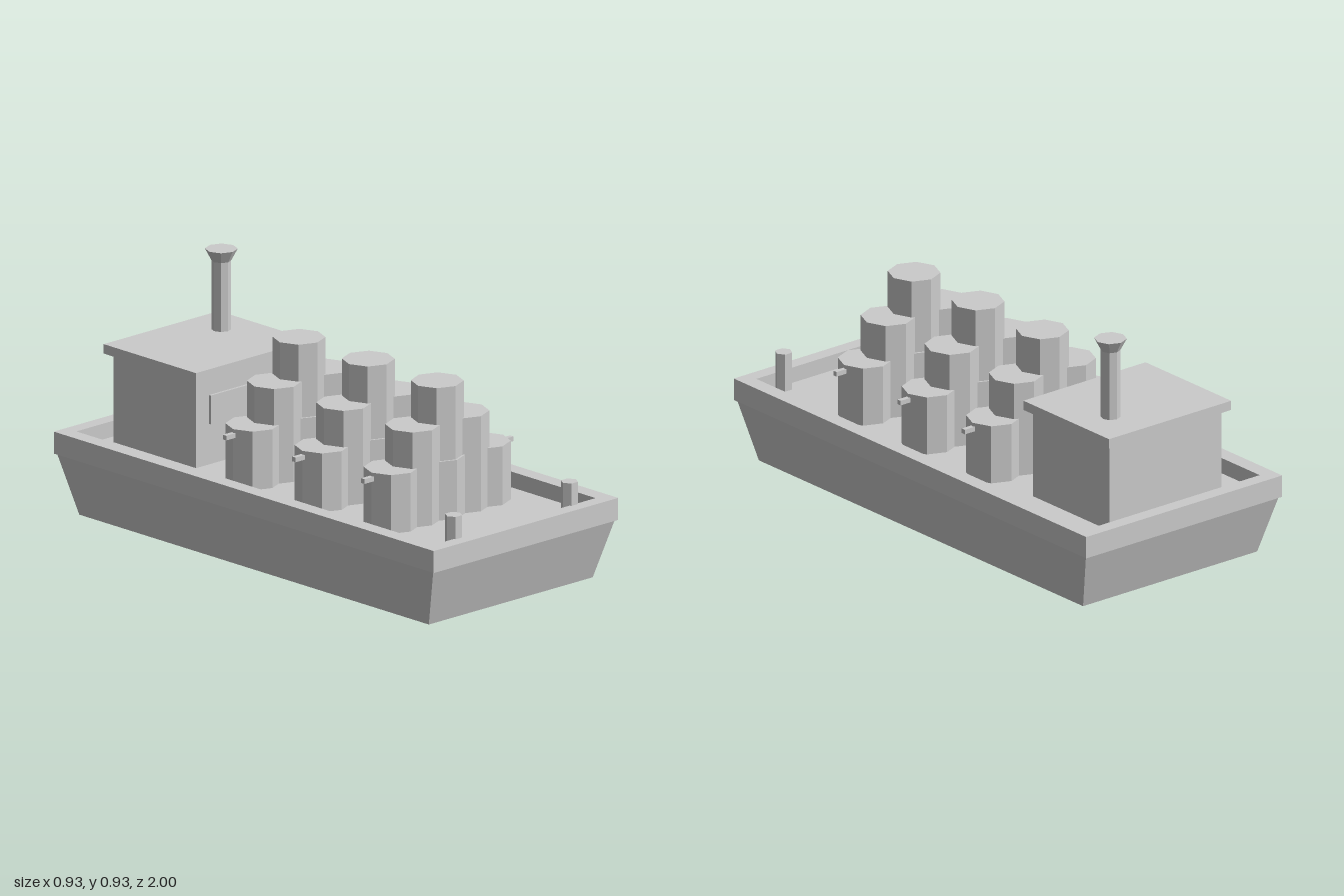
import * as THREE from 'three';

const material = new THREE.MeshStandardMaterial({ color: 0xcccccc, flatShading: true });
const DECK = 0.25;

function add(parent, name, geometry, x = 0, y = 0, z = 0) {
  const mesh = new THREE.Mesh(geometry, material);
  mesh.name = name;
  mesh.position.set(x, y, z);
  parent.add(mesh);
  return mesh;
}

// Box given by its width, depth and bottom / top heights
function slab(parent, name, w, d, y0, y1, x = 0, z = 0) {
  return add(parent, name, new THREE.BoxGeometry(w, y1 - y0, d), x, (y0 + y1) / 2, z);
}

// Upright prism between two heights
function post(parent, name, rTop, rBottom, sides, y0, y1, x, z) {
  return add(parent, name, new THREE.CylinderGeometry(rTop, rBottom, y1 - y0, sides), x, (y0 + y1) / 2, z);
}

function rectangle(target, hw, hd) {
  target.moveTo(-hw, -hd);
  target.lineTo(hw, -hd);
  target.lineTo(hw, hd);
  target.lineTo(-hw, hd);
  target.closePath();
  return target;
}

export function createModel() {
  const model = new THREE.Group();
  model.name = 'barge';

  // Hull: a box narrowed towards its flat bottom
  const hull = new THREE.BoxGeometry(0.916, 0.227, 1.98);
  const p = hull.attributes.position;
  for (let i = 0; i < p.count; i++) {
    if (p.getY(i) < 0) {
      p.setX(i, Math.sign(p.getX(i)) * 0.413);
      p.setZ(i, Math.sign(p.getZ(i)) * 0.92);
    }
  }
  hull.computeVertexNormals();
  add(model, 'hull', hull, 0, 0.1135, 0);

  // Raised rim around the sunken deck
  const frame = rectangle(new THREE.Shape(), 0.465, 1);
  frame.holes.push(rectangle(new THREE.Path(), 0.404, 0.945));
  const rim = new THREE.ExtrudeGeometry(frame, { depth: 0.084, bevelEnabled: false });
  rim.rotateX(-Math.PI / 2);
  add(model, 'rim', rim, 0, 0.226, 0);
  slab(model, 'deck', 0.82, 1.9, 0.228, DECK);

  // Rows of octagonal columns, stepping up to the middle
  for (const z of [0.533, 0.17, -0.195]) {
    const row = new THREE.Group();
    row.name = 'columnRow';
    row.position.z = z;
    model.add(row);
    post(row, 'middleColumn', 0.0965, 0.0965, 8, DECK, 0.754, 0, 0);
    post(row, 'middleColumnBase', 0.105, 0.105, 8, DECK, 0.474, 0, 0);
    for (const s of [-1, 1]) {
      post(row, 'innerColumn', 0.101, 0.101, 8, DECK, 0.613, s * 0.123, 0);
      post(row, 'outerColumn', 0.101, 0.101, 8, DECK, 0.474, s * 0.231, 0);
      slab(row, 'peg', 0.075, 0.018, 0.442, 0.46, s * 0.3375, 0);
    }
  }

  // Cabin with overhanging roof and front window
  slab(model, 'cabin', 0.53, 0.434, DECK, 0.59, 0, -0.677);
  slab(model, 'roof', 0.58, 0.486, 0.588, 0.624, 0, -0.677);
  slab(model, 'window', 0.4, 0.03, 0.405, 0.515, 0, -0.465);

  // Chimney with flared top
  post(model, 'chimney', 0.036, 0.036, 8, 0.6, 0.887, 0.145, -0.755);
  post(model, 'chimneyFlare', 0.06, 0.036, 8, 0.887, 0.932, 0.145, -0.755);

  // Mooring posts at the bow
  for (const s of [-1, 1]) {
    post(model, 'mooringPost', 0.0325, 0.0325, 6, DECK, 0.395, s * 0.292, 0.924).rotation.y = Math.PI / 6;
  }
  return model;
}
